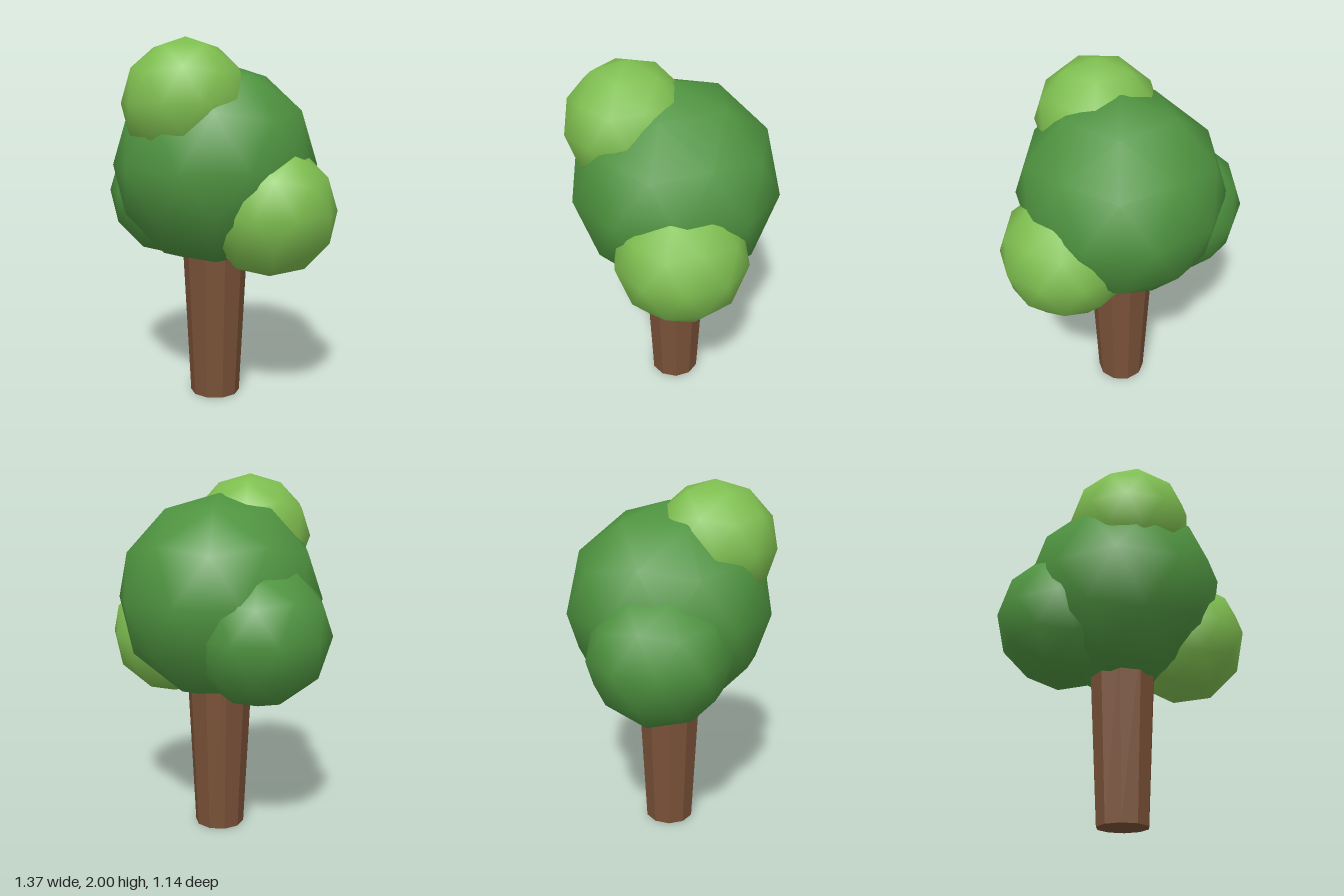
import * as THREE from 'three';

const material = (name, color, flatShading = false) => {
  const m = new THREE.MeshStandardMaterial({ color, flatShading });
  m.name = name;
  return m;
};

export function createModel() {
  const tree = new THREE.Group();
  tree.name = 'tree';

  const bark = material('bark brown', 0x7a5238, true);
  const leaf = material('leaf green', 0x4f9440);
  const lightLeaf = material('light leaf green', 0x7fbf50);

  // Tapered ten-sided trunk, its top hidden inside the crown
  const trunk = new THREE.Mesh(new THREE.CylinderGeometry(0.19, 0.14, 1, 10), bark);
  trunk.name = 'trunk';
  trunk.position.y = 0.5;
  tree.add(trunk);

  // Smooth low-poly ball, turned so that a corner points straight up
  const ball = new THREE.IcosahedronGeometry(1, 1);
  ball.rotateZ(-Math.atan(2 / (1 + Math.sqrt(5))));

  // Foliage: name, material, radius, centre
  const foliage = [
    ['mainCrown', leaf, 0.57, [0, 1.32, 0]],
    ['rightLowerFoliage', leaf, 0.39, [-0.32, 1.15, 0.055]],
    ['leftLowerFoliage', lightLeaf, 0.36, [0.34, 1.09, -0.12]],
    ['topFoliage', lightLeaf, 0.342, [0.055, 1.658, 0.23]],
  ];
  for (const [name, mat, radius, centre] of foliage) {
    const mesh = new THREE.Mesh(ball, mat);
    mesh.name = name;
    mesh.scale.setScalar(radius);
    mesh.position.set(...centre);
    tree.add(mesh);
  }
  return tree;
}
